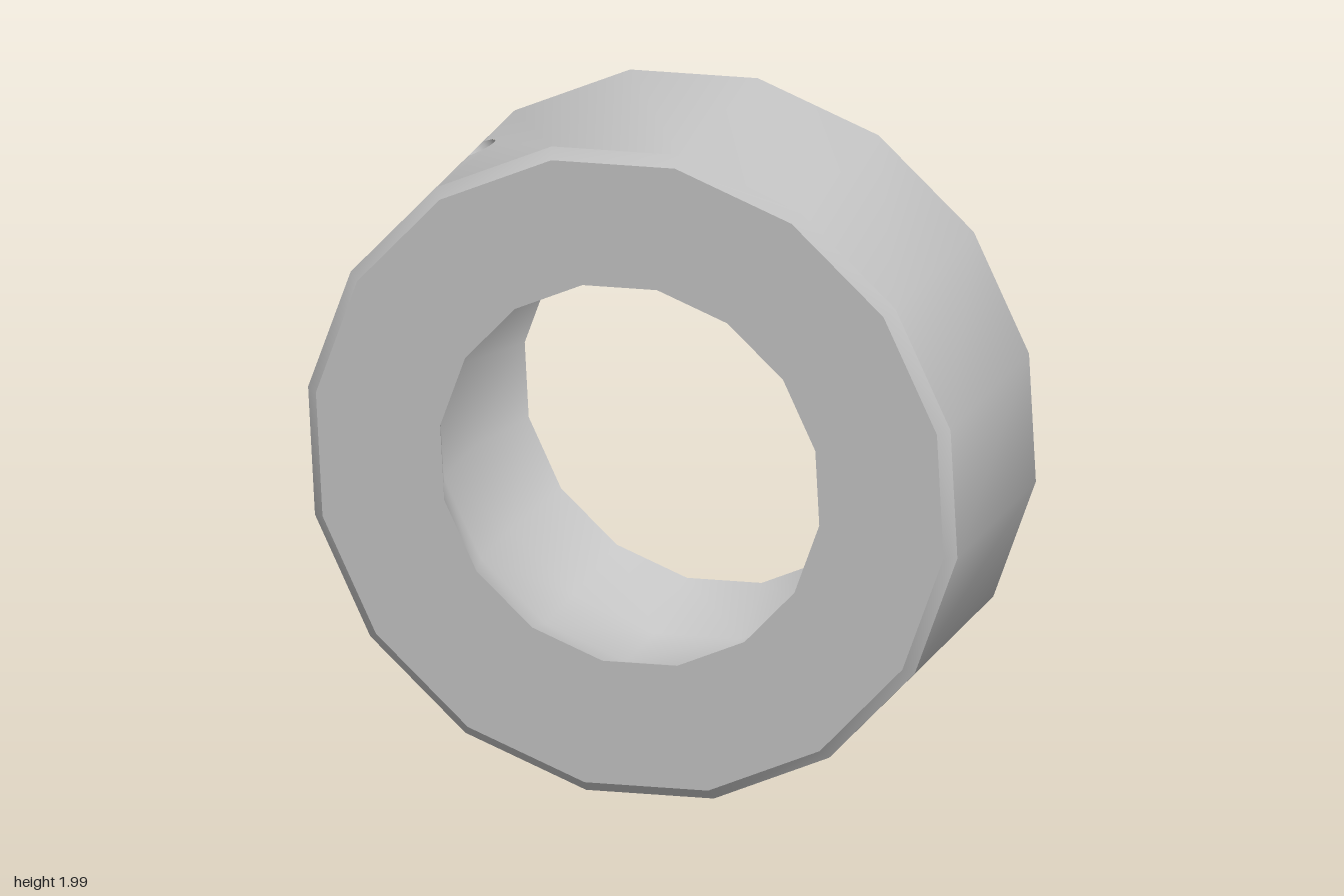
import * as THREE from 'three';
import { mergeGeometries, toCreasedNormals } from 'three/addons/utils/BufferGeometryUtils.js';

const SIDES = 16;
const STEP = (Math.PI * 2) / SIDES;
const START = THREE.MathUtils.degToRad(125.5); // corner that carries the pin hole
const OUTER = 0.99, FACE = 0.957;              // radii of the wall and of the end faces
const BORE = 0.578, BELLY = 0.666;             // bore radius at its mouths and at its middle
const HALF = 0.362, WALL_HALF = 0.336, BELLY_HALF = 0.125, PIN = 0.062;

const side = (radius) => 2 * radius * Math.sin(STEP / 2);

const corner = (radius, k, z) => new THREE.Vector3(
  radius * Math.cos(START + k * STEP), radius * Math.sin(START + k * STEP), z);

// Point on a many-sided wall, s being the distance along it from the pin corner
function onWall(radius, s, z) {
  const k = Math.floor(s / side(radius));
  return corner(radius, k, z).lerp(corner(radius, k + 1, z), s / side(radius) - k);
}

function flip(geometry) {
  const a = geometry.index.array;
  for (let i = 0; i < a.length; i += 3) [a[i], a[i + 1]] = [a[i + 1], a[i]];
  return geometry;
}

// Surface between two closed loops of points
function loft(a, b) {
  const n = a.length, index = [];
  for (let i = 0; i < n; i++) {
    const j = (i + 1) % n;
    index.push(i, j, n + j, i, n + j, n + i);
  }
  const geometry = new THREE.BufferGeometry().setFromPoints([...a, ...b]);
  return geometry.setIndex(index);
}

const ring = (radius, z) => Array.from({ length: SIDES }, (_, k) => corner(radius, k, z));

// Flat panels around a wall; the two beside the pin corner get a half-round notch
function wall(radius, half) {
  const L = side(radius), panels = [];
  for (let k = 0; k < SIDES; k++) {
    const shape = new THREE.Shape();
    shape.moveTo(0, -half);
    shape.lineTo(L, -half);
    if (k === SIDES - 1) shape.absarc(L, 0, PIN, -Math.PI / 2, -Math.PI * 1.5, true);
    shape.lineTo(L, half);
    shape.lineTo(0, half);
    if (k === 0) shape.absarc(0, 0, PIN, Math.PI / 2, -Math.PI / 2, true);
    shape.closePath();
    const panel = new THREE.ShapeGeometry(shape, 10);
    const p = panel.attributes.position;
    for (let i = 0; i < p.count; i++) {
      const v = corner(radius, k, p.getY(i)).lerp(corner(radius, k + 1, p.getY(i)), p.getX(i) / L);
      p.setXYZ(i, v.x, v.y, v.z);
    }
    panels.push(panel.deleteAttribute('uv').deleteAttribute('normal'));
  }
  return mergeGeometries(panels);
}

export function createModel() {
  const group = new THREE.Group();
  group.name = 'collarRing';
  const grey = new THREE.MeshStandardMaterial({ color: 0xc4c4c4 });
  grey.name = 'plain grey';

  const collar = new THREE.Group();
  collar.name = 'collar';
  const add = (name, geometry) => {
    const mesh = new THREE.Mesh(toCreasedNormals(geometry, 0.6), grey);
    mesh.name = name;
    collar.add(mesh);
  };

  // Outer wall
  add('outerWall', wall(OUTER, WALL_HALF));

  // Ball-shaped bore, widest halfway through the ring
  add('ballBore', flip(mergeGeometries([
    loft(ring(BORE, -HALF), ring(BELLY, -BELLY_HALF)),
    wall(BELLY, BELLY_HALF),
    loft(ring(BELLY, BELLY_HALF), ring(BORE, HALF)),
  ])));

  // Flat end faces and their bevelled rims
  const disc = new THREE.Shape(ring(FACE, 0));
  disc.holes.push(new THREE.Path(ring(BORE, 0)));
  add('frontFace', new THREE.ShapeGeometry(disc).translate(0, 0, HALF));
  add('backFace', flip(new THREE.ShapeGeometry(disc)).translate(0, 0, -HALF));
  add('frontBevel', loft(ring(OUTER, WALL_HALF), ring(FACE, HALF)));
  add('backBevel', loft(ring(FACE, -HALF), ring(OUTER, -WALL_HALF)));

  // Pin hole running through the wall
  const rim = (radius) => Array.from({ length: 20 }, (_, i) => {
    const t = (i / 20) * Math.PI * 2;
    return onWall(radius, PIN * Math.cos(t), PIN * Math.sin(t));
  });
  add('pinHole', loft(rim(OUTER), rim(BELLY)));

  // Slight lean, top toward the front
  collar.rotation.set(0.068, -0.015, 0);
  collar.position.y = 1;
  group.add(collar);
  return group;
}
